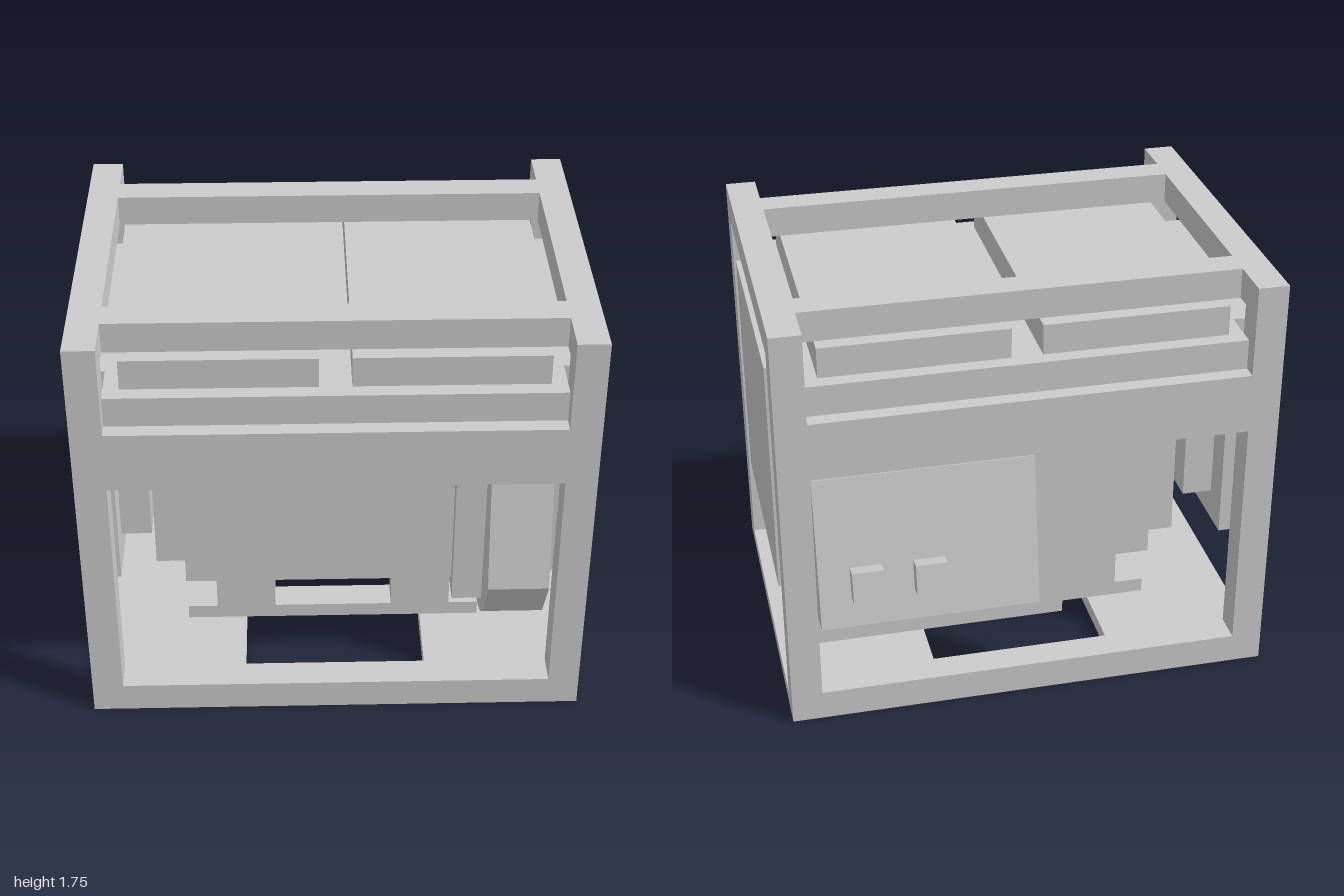
import * as THREE from 'three';

export function createModel() {
  const model = new THREE.Group();
  model.name = 'portableGenerator';
  const body = new THREE.Group();
  body.name = 'generatorBody';
  body.position.z = 0.08; // the control panel sticks out at the back
  model.add(body);
  const mat = new THREE.MeshStandardMaterial({ color: 0xcccccc, flatShading: true });

  const add = (name, geo, parent = body) => {
    const mesh = new THREE.Mesh(geo, mat);
    mesh.name = name;
    parent.add(mesh);
    return mesh;
  };
  // box from its limits on each axis
  const box = (name, x0, x1, y0, y1, z0, z1, parent) => {
    const mesh = add(name, new THREE.BoxGeometry(x1 - x0, y1 - y0, z1 - z0), parent);
    mesh.position.set((x0 + x1) / 2, (y0 + y1) / 2, (z0 + z1) / 2);
    return mesh;
  };
  const path = (Type, pts) => new Type(pts.map(([x, y]) => new THREE.Vector2(x, y)));

  // front and back frames: posts, sill and broad panel in one piece
  const frame = path(THREE.Shape, [[-1, 0], [1, 0], [1, 1.75], [0.875, 1.75], [0.875, 1.375],
    [-0.875, 1.375], [-0.875, 1.75], [-1, 1.75]]);
  frame.holes.push(path(THREE.Path, [[-0.875, 0.125], [-0.875, 1.125], [0.875, 1.125], [0.875, 0.125]]));
  const frameGeo = new THREE.ExtrudeGeometry(frame, { depth: 0.125, bevelEnabled: false });
  add('frontFrame', frameGeo).position.z = 0.625;
  add('backFrame', frameGeo).position.z = -0.75;

  // parts that occur on both ends: top rails, floor plates, end boxes
  for (const s of [-1, 1]) {
    const span = (a, b) => (s > 0 ? [a, b] : [-b, -a]);
    box('topSideRail', ...span(0.875, 1), 1.625, 1.75, -0.625, 0.625);
    box('floorPlate', ...span(0.375, 1), 0, 0.0625, -0.625, 0.625);
    box('endBox', ...span(0.875, 1), 0.5, 1.5, -0.5, 0.5);
    box('tankLid', ...span(0.0625, 0.8125), 1.5, 1.625, -0.625, 0.625);
    // top crossbars and engine skids, front and back
    box('topCrossbar', -0.875, 0.875, 1.625, 1.75, ...span(0.4375, 0.5625));
    box('engineSkid', -0.625, 0.625, 0.0625, 0.125, ...span(0.125, 0.25));
    for (const x of [-0.5, 0.25]) box('engineFoot', x, x + 0.25, 0.125, 0.3175, ...span(0.125, 0.25));
  }

  // fuel tank
  box('tankUpper', -0.875, 0.875, 1.375, 1.5, -0.6875, 0.6875);
  box('tankLower', -0.875, 0.875, 1.25, 1.375, -0.625, 0.625);

  // engine: stepped square blocks in line
  const midY = 0.628;
  for (const [name, x0, x1, r] of [['engineEnd', -0.75, -0.625, 0.25],
    ['engineBlock', -0.625, 0.5, 0.3125], ['engineFlange', 0.5, 0.625, 0.375]]) {
    box(name, x0, x1, midY - r, midY + r, -r, r);
  }
  box('intakeDuct', -0.875, -0.75, 0.625, 1.375, -0.375, 0.375);

  // fan housing: rounded-bottom profile extruded along x
  const half = [[0.25, 0.125], [0.365, 0.17], [0.46, 0.25], [0.585, 0.47], [0.5, 0.97], [0.5, 1.375]];
  const profile = path(THREE.Shape, [...half, ...half.map(([z, y]) => [-z, y]).reverse()]);
  const housing = add('fanHousing', new THREE.ExtrudeGeometry(profile, { depth: 0.25, bevelEnabled: false }));
  housing.rotation.y = Math.PI / 2;
  housing.position.x = 0.625;

  // bars holding the control panel
  box('panelUpright', -0.125, 0, 0.375, 1.125, -0.75, -0.625);
  box('panelSill', 0, 0.875, 0.375, 0.5, -0.75, -0.625);

  // tilted control panel with two knobs
  const panel = new THREE.Group();
  panel.name = 'controlPanel';
  panel.position.set(0.4375, 0.815, -0.75);
  panel.rotation.x = THREE.MathUtils.degToRad(10);
  body.add(panel);
  box('panelPlate', -0.4375, 0.4375, -0.3125, 0.3125, -0.0625, 0.0625, panel);
  for (const x of [-0.0625, 0.1875]) {
    box('panelKnob', x, x + 0.125, -0.1875, -0.0625, -0.125, -0.0625, panel);
  }
  return model;
}
